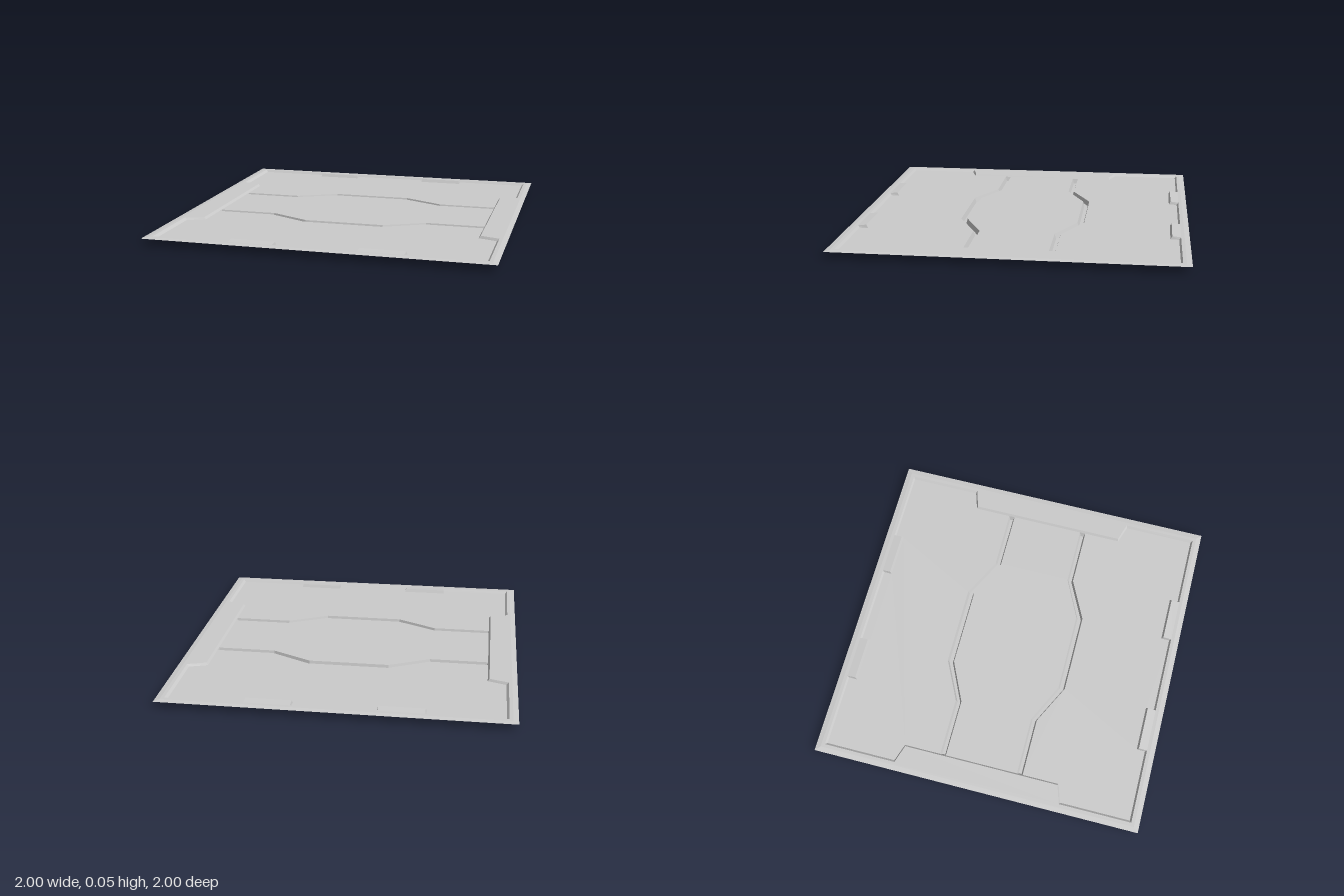
import * as THREE from 'three';

const RIM = 0.044, TAB = 0.049, FLOOR = 0.03, EDGE = 0.04;
const material = new THREE.MeshStandardMaterial({
  color: 0xcccccc, flatShading: true, side: THREE.DoubleSide,
});

// Points are [x, z]; mirror one quarter into a closed loop.
function fourWay(quarter) {
  const flip = (sx, sz) => quarter.map(([x, z]) => [x * sx, z * sz]);
  return [...flip(1, 1), ...flip(1, -1).reverse(), ...flip(-1, -1), ...flip(-1, 1).reverse()];
}

// Flat horizontal panel, optionally with a hole.
function panel(name, loop, y, hole) {
  const points = (l) => l.map(([x, z]) => new THREE.Vector2(x, -z));
  const shape = new THREE.Shape(points(loop));
  if (hole) shape.holes.push(new THREE.Path(points(hole)));
  const geometry = new THREE.ShapeGeometry(shape).rotateX(-Math.PI / 2).translate(0, y, 0);
  const mesh = new THREE.Mesh(geometry, material);
  mesh.name = name;
  return mesh;
}

// Closed band joining two loops of equal length; heights may vary by point.
function band(name, upper, lower, yUpper, yLower) {
  const at = (y, p) => [p[0], typeof y === 'function' ? y(p) : y, p[1]];
  const positions = [];
  upper.forEach((p, i) => {
    const j = (i + 1) % upper.length;
    const a = at(yUpper, p), b = at(yUpper, upper[j]);
    const c = at(yLower, lower[i]), d = at(yLower, lower[j]);
    positions.push(...a, ...b, ...c, ...b, ...d, ...c);
  });
  const geometry = new THREE.BufferGeometry();
  geometry.setAttribute('position', new THREE.Float32BufferAttribute(positions, 3));
  geometry.computeVertexNormals();
  const mesh = new THREE.Mesh(geometry, material);
  mesh.name = name;
  return mesh;
}

// Line bowing outward in the middle, running from -x to +x.
function bowedLine(zEnd, zMid, xEnd) {
  return [[-xEnd, zEnd], [-0.48, zEnd], [-0.24, zMid], [0.24, zMid], [0.48, zEnd], [xEnd, zEnd]];
}

export function createModel() {
  const group = new THREE.Group();
  group.name = 'floorTile';

  // Outer border with a shallow bevel
  const outer = fourWay([[1, 1]]);
  const crest = fourWay([[0.97, 0.97]]);
  const rimInner = fourWay([[0.24, 0.95], [0.5, 0.95], [0.95, 0.95], [0.95, 0.51], [0.84, 0.475]]);
  group.add(band('borderBevel', crest, outer, RIM, EDGE));
  group.add(panel('border', crest, RIM, rimInner));

  // Wall stepping down to the recessed floor, following the tabs
  const wallTop = fourWay([[0.24, 0.95], [0.24, 0.9], [0.5, 0.9], [0.5, 0.95],
    [0.95, 0.95], [0.95, 0.51], [0.84, 0.475]]);
  const floorQuarter = [[0.235, 0.94], [0.235, 0.89], [0.505, 0.89], [0.505, 0.94],
    [0.937, 0.94], [0.937, 0.515], [0.83, 0.48]];
  const topHeight = ([, z]) => (Math.abs(z) === 0.9 ? TAB : RIM);
  group.add(band('recessWall', wallTop, fourWay(floorQuarter), topHeight, FLOOR));

  // Slightly raised tabs on the front and back edges
  for (const sx of [-1, 1]) for (const sz of [-1, 1]) {
    const tab = panel('tab', [[0.24, 0.95], [0.5, 0.95], [0.5, 0.9], [0.24, 0.9]]
      .map(([x, z]) => [x * sx, z * sz]), 0);
    const p = tab.geometry.attributes.position;
    for (let i = 0; i < p.count; i++) p.setY(i, Math.abs(p.getZ(i)) < 0.92 ? TAB : RIM);
    tab.geometry.computeVertexNormals();
    group.add(tab);
  }

  // Middle floor between the two channels
  const innerLine = bowedLine(0.222, 0.337, 0.83);
  const outerLine = bowedLine(0.258, 0.377, 0.83);
  const mirrorZ = (line) => line.map(([x, z]) => [x, -z]);
  group.add(panel('middleFloor', [...innerLine, ...mirrorZ(innerLine).reverse()], FLOOR));

  // End floors and channels, mirrored front to back
  const endFloor = [...floorQuarter, ...[...outerLine].reverse(),
    ...floorQuarter.map(([x, z]) => [-x, z]).reverse()];
  const channelTop = [...innerLine, ...[...outerLine].reverse()];
  const channelBase = [...bowedLine(0.231, 0.346, 0.82), ...bowedLine(0.249, 0.368, 0.82).reverse()];
  for (const side of ['front', 'back']) {
    const place = side === 'front' ? (l) => l : mirrorZ;
    group.add(panel(side + 'Floor', place(endFloor), FLOOR));
    group.add(band(side + 'ChannelWalls', place(channelTop), place(channelBase), FLOOR, 0));
    group.add(panel(side + 'ChannelBase', place(channelBase), 0));
  }
  return group;
}
